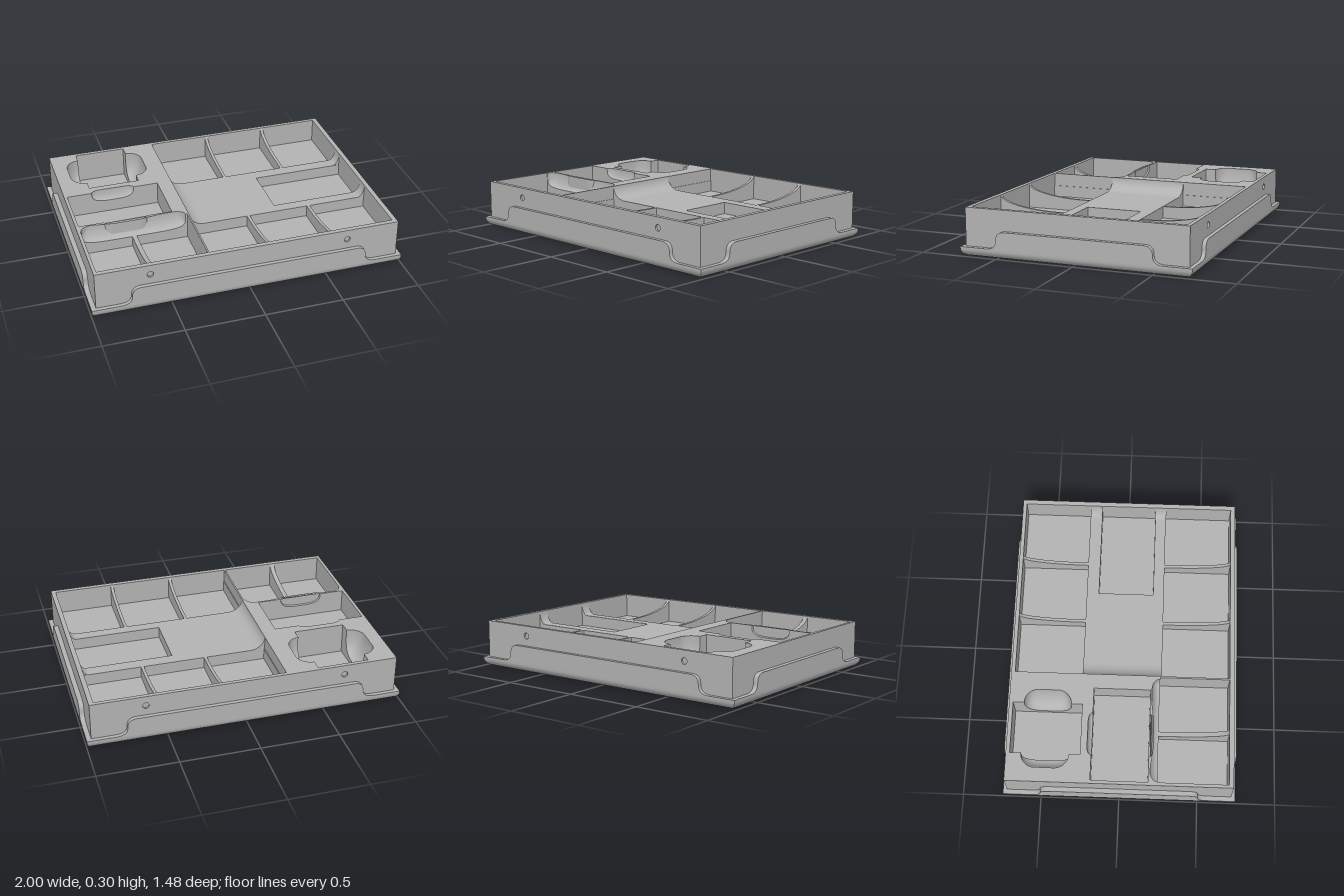
import * as THREE from 'three';
import { toCreasedNormals } from 'three/addons/utils/BufferGeometryUtils.js';

const TOP = 0.3, MID = 0.215, LOW = 0.1;
const FRONT = 0.703; // body half depth without its drilled face plates

export function createModel() {
  const group = new THREE.Group();
  const grey = new THREE.MeshStandardMaterial({ color: 0xb2b2b2, side: THREE.DoubleSide });

  const add = (name, geometry) => {
    const mesh = new THREE.Mesh(geometry, grey);
    mesh.name = name;
    group.add(mesh);
    return mesh;
  };
  const rect = (x0, x1, z0, z1) => [[x0, z0], [x1, z0], [x1, z1], [x0, z1]];
  const toPoints = (list) => list.map(([x, z]) => new THREE.Vector2(x, -z));
  const box = (name, x0, x1, y0, y1, z0, z1) =>
    add(name, new THREE.BoxGeometry(x1 - x0, y1 - y0, z1 - z0))
      .position.set((x0 + x1) / 2, (y0 + y1) / 2, (z0 + z1) / 2);

  // Horizontal slab with openings, from y0 to y1
  function slab(name, outline, holes, y0, y1) {
    const shape = new THREE.Shape(toPoints(outline));
    holes.forEach((h) => shape.holes.push(new THREE.Path(toPoints(h))));
    const geo = new THREE.ExtrudeGeometry(shape, { depth: y1 - y0, bevelEnabled: false });
    geo.rotateX(-Math.PI / 2).translate(0, y0, 0);
    add(name, geo);
  }

  // Curved finger scoop running out of one side of a well
  function scoop(mid, along, out, { w, reach, corner, depth, e = 0.6 }) {
    const half = (q) => w - corner * (1 - Math.cos(q));
    const section = (q, v) => [
      -half(q) * Math.sign(Math.cos(v)) * Math.abs(Math.cos(v)) ** e,
      TOP - depth * Math.cos(q) * Math.max(0, Math.sin(v)) ** e,
    ];
    const frame = new THREE.Matrix4().makeBasis(
      new THREE.Vector3(along[0], 0, along[1]),
      new THREE.Vector3(0, 1, 0),
      new THREE.Vector3(-out[0], 0, -out[1]),
    ).setPosition(mid[0], 0, mid[1]);
    const bowl = new THREE.PlaneGeometry(1, 1, 32, 12);
    const pos = bowl.attributes.position;
    for (let i = 0; i < pos.count; i++) {
      const q = (pos.getY(i) + 0.5) * Math.PI / 2;
      const [a, y] = section(q, (pos.getX(i) + 0.5) * Math.PI);
      pos.setXYZ(i, a, y, -reach * Math.sin(q));
    }
    bowl.computeVertexNormals();
    add('fingerScoop', bowl.applyMatrix4(frame));
    // Well wall left standing below the scoop
    const wall = [new THREE.Vector2(-w, LOW)];
    for (let k = 0; k <= 32; k++) wall.push(new THREE.Vector2(...section(0, k / 32 * Math.PI)));
    wall.push(new THREE.Vector2(w, LOW));
    add('scoopWall', new THREE.ShapeGeometry(new THREE.Shape(wall)).applyMatrix4(frame));
    // Lip outline for the opening in the top face
    const lip = [];
    for (let k = 0; k <= 24; k++) {
      const q = (k <= 12 ? k : 24 - k) / 12 * Math.PI / 2;
      const a = (k <= 12 ? -1 : 1) * half(q), o = reach * Math.sin(q);
      lip.push([mid[0] + a * along[0] + o * out[0], mid[1] + a * along[1] + o * out[1]]);
    }
    return lip;
  }

  // Well outline with optional scoops on its back, right, front and left sides
  function well(x0, x1, z0, z1, scoops = []) {
    const corners = rect(x0, x1, z0, z1), outline = [];
    const dirs = [[1, 0], [0, 1], [-1, 0], [0, -1]];
    corners.forEach((p, i) => {
      outline.push(p);
      if (!scoops[i]) return;
      const n = corners[(i + 1) % 4], d = dirs[i];
      const mid = [(p[0] + n[0]) / 2 + (scoops[i].shift || 0) * d[0], (p[1] + n[1]) / 2];
      outline.push(...scoop(mid, d, [d[1], -d[0]], scoops[i]));
    });
    return outline;
  }

  // Concave sweep from height h down to the floor over a given run
  function cove(name, run, h, width, x, y, z, turn) {
    const pts = [new THREE.Vector2(0, 0)];
    for (let k = 0; k <= 12; k++) {
      const t = k / 12 * Math.PI / 2;
      pts.push(new THREE.Vector2(run * (1 - Math.sin(t)), h * (1 - Math.cos(t))));
    }
    const geo = new THREE.ExtrudeGeometry(new THREE.Shape(pts), { depth: width, bevelEnabled: false });
    const mesh = add(name, toCreasedNormals(geo.translate(0, 0, -width / 2), 0.5));
    mesh.position.set(x, y, z);
    mesh.rotation.y = turn;
  }

  // Base tray with rounded lower edge
  const profile = [new THREE.Vector2(0, 0)];
  for (let k = 0; k <= 8; k++) {
    const a = k / 8 * Math.PI / 2;
    profile.push(new THREE.Vector2(Math.SQRT2 * (0.95 + 0.05 * Math.sin(a)), 0.05 * (1 - Math.cos(a))));
  }
  profile.push(new THREE.Vector2(Math.SQRT2, 0.06), new THREE.Vector2(0, 0.06));
  const base = new THREE.LatheGeometry(profile, 4, Math.PI / 4);
  const bp = base.attributes.position;
  for (let i = 0; i < bp.count; i++) {
    const z = bp.getZ(i);
    if (Math.abs(z) > 0.1) bp.setZ(i, z - 0.26 * Math.sign(z));
  }
  add('baseTray', toCreasedNormals(base, 0.6));

  // Raised base walls with S-shaped ends
  function baseWall(m, thickness, distance, turn) {
    const s = new THREE.Shape();
    s.moveTo(-m - 0.07, 0.055);
    s.lineTo(m + 0.07, 0.055);
    s.lineTo(m + 0.07, 0.06);
    s.quadraticCurveTo(m, 0.06, m, 0.115);
    s.quadraticCurveTo(m, 0.17, m - 0.06, 0.17);
    s.lineTo(-m + 0.06, 0.17);
    s.quadraticCurveTo(-m, 0.17, -m, 0.115);
    s.quadraticCurveTo(-m, 0.06, -m - 0.07, 0.06);
    const geo = new THREE.ExtrudeGeometry(s, { depth: thickness, bevelEnabled: false });
    geo.translate(0, 0, distance - thickness).rotateY(turn);
    add('baseWall', toCreasedNormals(geo, 0.5));
  }
  for (const t of [0, Math.PI]) {
    baseWall(0.75, 0.026, 0.74, t);
    baseWall(0.5, 0.031, 1, t + Math.PI / 2);
    // Front and back faces with drilled dimples
    const face = new THREE.Shape([[-0.97, 0.06], [0.97, 0.06], [0.97, TOP], [-0.97, TOP]]
      .map((p) => new THREE.Vector2(...p)));
    for (const x of [-0.63, 0.63]) {
      face.holes.push(new THREE.Path().absarc(x, 0.235, 0.02, 0, Math.PI * 2, true));
    }
    const geo = new THREE.ExtrudeGeometry(face, { depth: 0.012, bevelEnabled: false, curveSegments: 16 });
    add('drilledFace', geo.translate(0, 0, FRONT).rotateY(t));
  }

  // Insert floor and left block with its card wells
  box('insertFloor', -0.97, 0.97, 0.06, LOW, -FRONT, FRONT);
  const grip = { w: 0.15, reach: 0.09, corner: 0.09, depth: 0.17 };
  const slot = { w: 0.14, reach: 0.028, corner: 0.06, depth: 0.07 };
  const trough = { w: 0.335, reach: 0.05, corner: 0.07, depth: 0.1, e: 0.35, shift: -0.003 };
  slab('leftBlock', rect(-0.97, -0.255, -FRONT, FRONT), [
    well(-0.79, -0.46, -0.69, -0.25, [null, grip, null, grip]),
    well(-0.95, -0.35, -0.18, 0.18, [slot, null, slot, null]),
    well(-0.95, -0.265, 0.24, 0.685, [trough]),
  ], LOW, TOP);
  box('cardWellFloor', -0.95, -0.35, LOW, 0.15, -0.18, 0.18);
  box('frontWellFloor', -0.95, -0.265, LOW, 0.13, 0.24, 0.685);
  box('frontWellDivider', -0.625, -0.595, LOW, 0.2, 0.24, 0.685);
  cove('frontWellDividerSweep', 0.42, 0.1, 0.03, -0.61, 0.2, 0.685, Math.PI / 2);

  // Right block: sunken centre, one card well and six side wells
  const columns = [[-0.25, 0.13], [0.15, 0.54], [0.56, 0.94]];
  const rows = [[-0.69, -0.26], [0.25, 0.685]];
  const wells = columns.flatMap(([a, b]) => rows.map(([c, d]) => rect(a, b, c, d)));
  slab('centreFloor', rect(-0.255, 0.97, -FRONT, FRONT),
    [...wells, rect(0.34, 0.94, -0.18, 0.18)], 0.14, MID);
  box('sideWellFloor', -0.255, 0.97, LOW, 0.14, -FRONT, FRONT);
  slab('outerRim', [[-0.255, -FRONT], [0.97, -FRONT], [0.97, FRONT], [-0.255, FRONT],
    [-0.255, 0.685], [0.94, 0.685], [0.94, -0.69], [-0.255, -0.69]], [], MID, TOP);
  for (const x of [0.14, 0.55]) {
    cove('sideWellDivider', 0.4, TOP - MID, 0.02, x, MID, -0.69, -Math.PI / 2);
    cove('sideWellDivider', 0.4, TOP - MID, 0.02, x, MID, 0.685, Math.PI / 2);
  }
  cove('centreRamp', 0.1, TOP - MID, 0.51, -0.255, MID, -0.005, 0);
  for (const z of [-0.22, 0.215]) cove('rimFillet', 0.05, TOP - MID, 0.075, 0.94, MID, z, Math.PI);

  return group;
}
